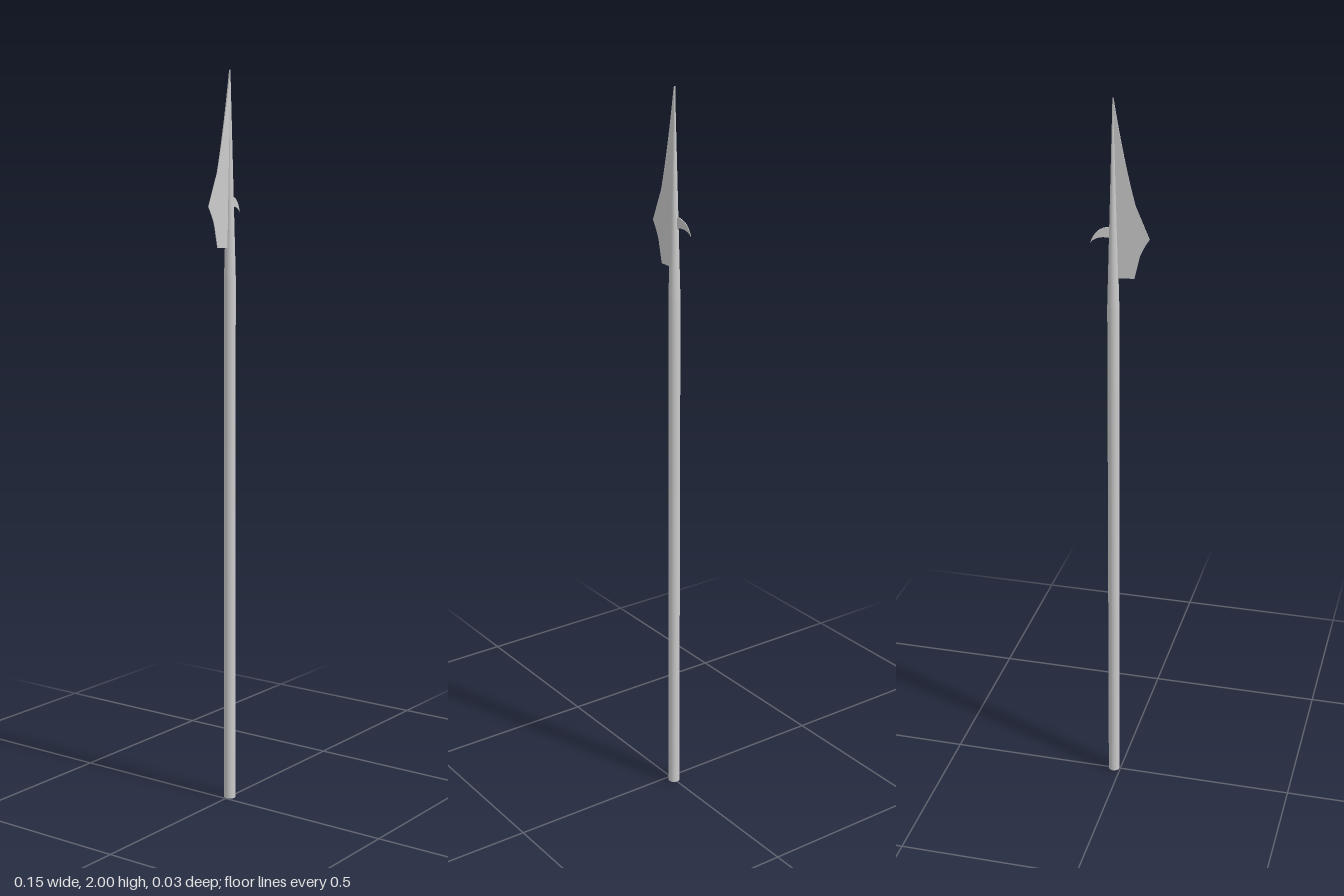
import * as THREE from 'three';

const AXIS = 0.019; // x of the pole's centre line
const grey = () => new THREE.MeshStandardMaterial({ color: 0xcccccc, side: THREE.DoubleSide });

function addMesh(parent, name, geometry, flat = false) {
  const material = grey();
  material.flatShading = flat;
  const mesh = new THREE.Mesh(geometry, material);
  mesh.name = name;
  parent.add(mesh);
  return mesh;
}

// Thin plate, centred on z = 0, that narrows away from the pole (x = 0) to an edge at x = reach
function taperedPlate(shape, thickness, reach) {
  const geometry = new THREE.ExtrudeGeometry(shape, { depth: thickness, bevelEnabled: false, curveSegments: 8 });
  geometry.translate(0, 0, -thickness / 2);
  const p = geometry.attributes.position;
  for (let i = 0; i < p.count; i++) {
    p.setZ(i, p.getZ(i) * Math.max(0.2, 1 - Math.abs(p.getX(i)) / reach));
  }
  geometry.computeVertexNormals();
  return geometry;
}

export function createModel() {
  const group = new THREE.Group();
  group.name = 'polearm';

  const weapon = new THREE.Group();
  weapon.name = 'weapon';
  weapon.position.x = AXIS;
  group.add(weapon);

  // Round wooden pole
  const pole = addMesh(weapon, 'pole', new THREE.CylinderGeometry(0.016, 0.016, 1.455, 16));
  pole.position.y = 1.455 / 2;

  // Long socket drawn out into the spike
  const spike = addMesh(weapon, 'socketSpike', new THREE.CylinderGeometry(0.0012, 0.016, 0.545, 16));
  spike.position.y = 1.455 + 0.545 / 2;

  // Axe-like blade on the model's right, running up to the tip
  const blade = new THREE.Shape();
  blade.moveTo(0, 2);
  blade.lineTo(-0.002, 1.995);
  blade.quadraticCurveTo(-0.028, 1.84, -0.058, 1.73);
  blade.lineTo(-0.096, 1.643);
  blade.quadraticCurveTo(-0.074, 1.61, -0.069, 1.59);
  blade.lineTo(-0.056, 1.535);
  blade.lineTo(0, 1.533);
  addMesh(weapon, 'blade', taperedPlate(blade, 0.004, 0.105), true);

  // Small down-curved hook on the other side, turned slightly back
  const hook = new THREE.Shape();
  hook.moveTo(0, 1.67);
  hook.lineTo(0.012, 1.669);
  hook.quadraticCurveTo(0.046, 1.667, 0.059, 1.627);
  hook.quadraticCurveTo(0.042, 1.646, 0.012, 1.641);
  hook.lineTo(0, 1.641);
  const hookMesh = addMesh(weapon, 'hook', taperedPlate(hook, 0.004, 0.08), true);
  hookMesh.rotation.y = 0.17;

  return group;
}
